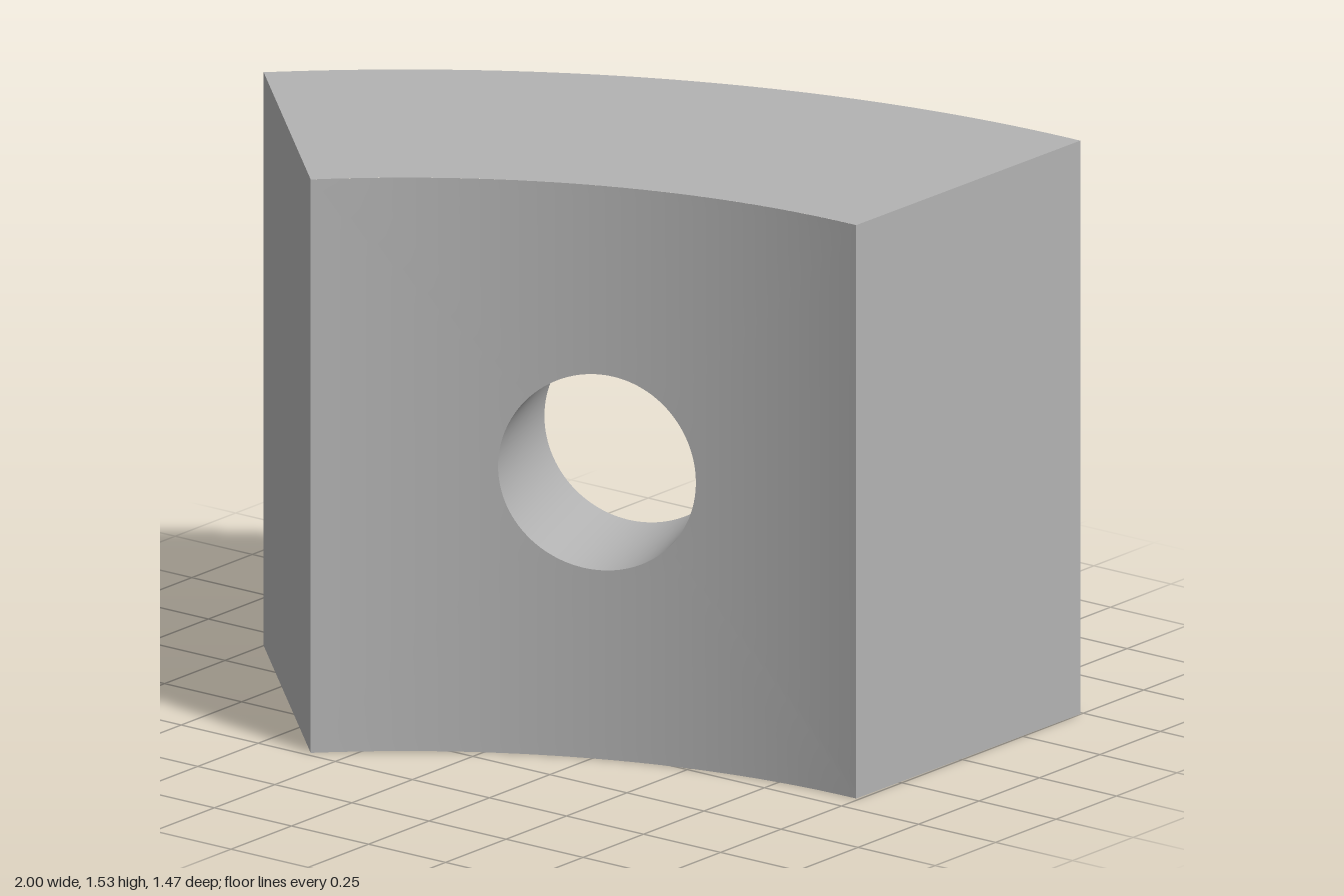
import * as THREE from 'three';

// Curved block (ring sector) with a counterbored radial hole.
const INNER = 1.845, OUTER = 2.762, FLOOR = 2.268; // distances from the ring axis
const HALF = 0.4025, HEIGHT = 1.535, MID = HEIGHT / 2;
const BORE = 0.262, COUNTERBORE = 0.5;

// Point on the ring: radius, angle from the hole axis, height
const polar = (r, a, y) => [r * Math.sin(a), y, -r * Math.cos(a)];

// Grid surface from a rule f(i, j); closed wraps the first direction
function surface(name, nu, nv, f, material, { closed = false, flip = false } = {}) {
  const pos = [], index = [];
  const columns = closed ? nu : nu + 1;
  for (let i = 0; i < columns; i++)
    for (let j = 0; j <= nv; j++) pos.push(...f(i, j));
  for (let i = 0; i < nu; i++) {
    for (let j = 0; j < nv; j++) {
      const k = ((i + 1) % columns) * (nv + 1) + j;
      const a = i * (nv + 1) + j, b = k, c = k + 1, d = a + 1;
      if (flip) index.push(a, c, b, a, d, c);
      else index.push(a, b, c, a, c, d);
    }
  }
  const g = new THREE.BufferGeometry();
  g.setAttribute('position', new THREE.Float32BufferAttribute(pos, 3));
  g.setIndex(index);
  g.computeVertexNormals();
  const mesh = new THREE.Mesh(g, material);
  mesh.name = name;
  return mesh;
}

export function createModel() {
  const grey = new THREE.MeshStandardMaterial({ color: 0xb3b3b3 });
  grey.name = 'grey';
  const block = new THREE.Group();
  block.name = 'curvedBlock';

  // Angles around the hole, including the four directions to the face corners
  const anglesFor = (r) => {
    const c = Math.atan2(MID, HALF * r);
    const list = [c, Math.PI - c, Math.PI + c, 2 * Math.PI - c];
    for (let i = 0; i < 120; i++) list.push((i / 120) * Math.PI * 2);
    return list.sort((a, b) => a - b);
  };

  // Rim of a hole of radius h where it meets the cylinder of radius r
  const rim = (r, h, t) => [Math.asin((h * Math.cos(t)) / r), MID + h * Math.sin(t)];

  // Curved face with its hole, spread from the rim to the rectangular border
  const curvedFace = (name, r, h, flip) => {
    const ts = anglesFor(r), rings = 16;
    return surface(name, ts.length, rings, (i, j) => {
      const t = ts[i], k = j / rings, [a0, y0] = rim(r, h, t);
      const reach = Math.min((HALF * r) / Math.max(Math.abs(Math.cos(t)), 1e-6),
        MID / Math.max(Math.abs(Math.sin(t)), 1e-6));
      const a1 = (reach * Math.cos(t)) / r, y1 = MID + reach * Math.sin(t);
      return polar(r, a0 + (a1 - a0) * k, y0 + (y1 - y0) * k);
    }, grey, { closed: true, flip });
  };
  block.add(curvedFace('outerFace', OUTER, COUNTERBORE, false));
  block.add(curvedFace('innerFace', INNER, BORE, true));

  // Hole walls: from a curved rim to the flat counterbore floor
  const wall = (name, r, h, flip) => {
    const ts = anglesFor(r);
    return surface(name, ts.length, 1, (i, j) => {
      const [a, y] = rim(r, h, ts[i]);
      return j ? [h * Math.cos(ts[i]), y, -FLOOR] : polar(r, a, y);
    }, grey, { closed: true, flip });
  };
  block.add(wall('boreWall', INNER, BORE, false));
  block.add(wall('counterboreWall', OUTER, COUNTERBORE, true));

  // Flat step between the two bores
  const ts = anglesFor(OUTER);
  block.add(surface('counterboreFloor', ts.length, 1, (i, j) => {
    const h = j ? COUNTERBORE : BORE;
    return [h * Math.cos(ts[i]), MID + h * Math.sin(ts[i]), -FLOOR];
  }, grey, { closed: true }));

  // Top and bottom
  for (const [name, y, flip] of [['topFace', HEIGHT, false], ['bottomFace', 0, true]])
    block.add(surface(name, 96, 1,
      (i, j) => polar(j ? OUTER : INNER, (i / 48 - 1) * HALF, y), grey, { flip }));

  // Flat ends
  for (const [name, a, flip] of [['leftEnd', HALF, false], ['rightEnd', -HALF, true]])
    block.add(surface(name, 1, 1,
      (i, j) => polar(i ? OUTER : INNER, a, j * HEIGHT), grey, { flip }));

  // Turn the sector and move its ring axis into place
  block.rotation.y = 0.394;
  block.position.set(0.975, 0, 2.022);

  const model = new THREE.Group();
  model.name = 'model';
  model.add(block);
  return model;
}
